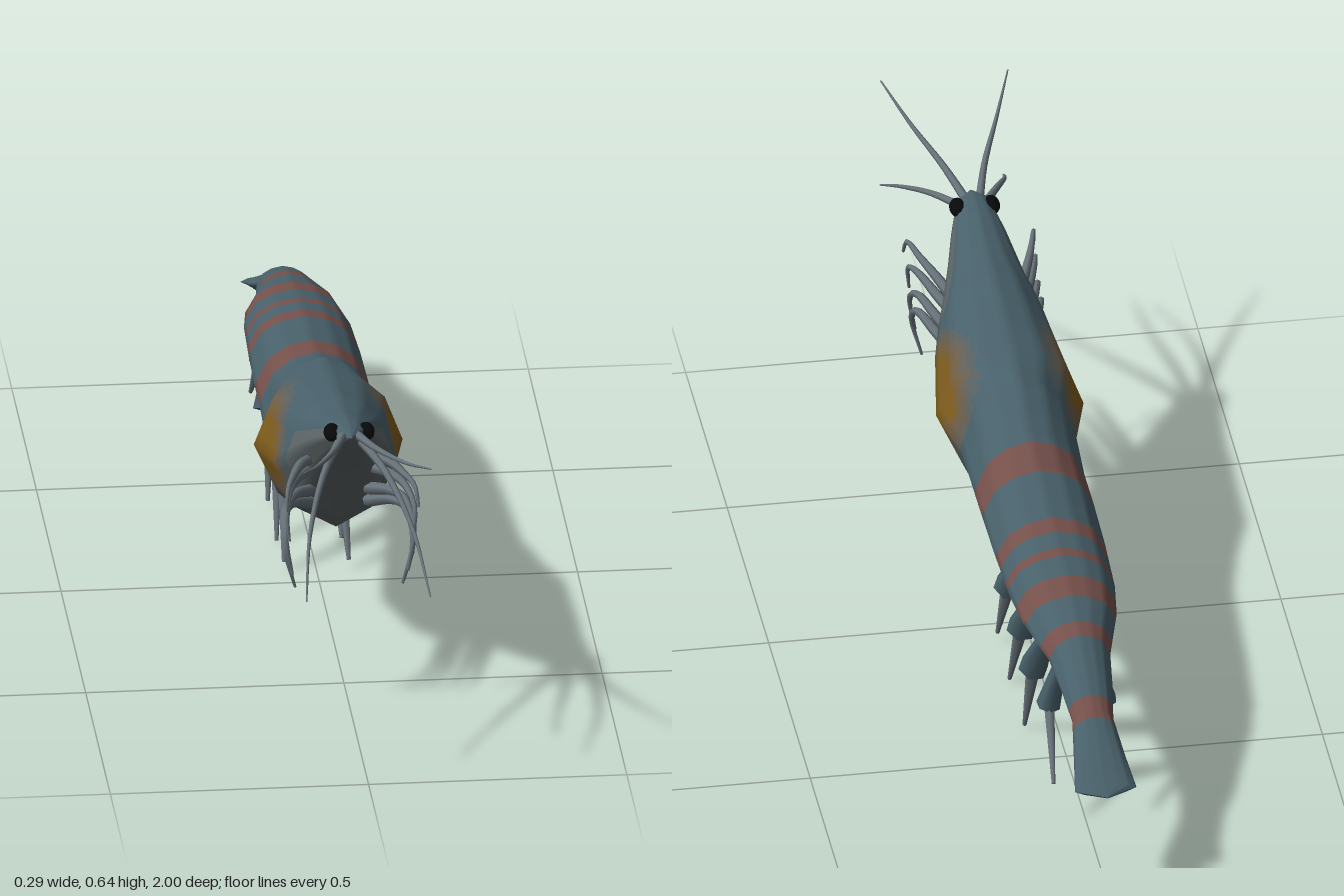
import * as THREE from 'three';

const SHELL = 0x48606a, STRIPE = 0x75504b, AMBER = 0x7d5b1c, BELLY = 0x5c6466, LIMB = 0x68737a;
const mat = (color) => new THREE.MeshStandardMaterial({ color, roughness: 0.8, side: THREE.DoubleSide });
const limbMat = mat(LIMB), shellMat = mat(SHELL);
const V = (x, y, z) => new THREE.Vector3(x, y, z);

// Body stations from tail to head: z, half width, top y, bottom y
const STATIONS = [
  [-1.0, 0.002, 0.218, 0.213], [-0.975, 0.06, 0.23, 0.206], [-0.9, 0.05, 0.268, 0.222],
  [-0.82, 0.04, 0.31, 0.25], [-0.75, 0.05, 0.345, 0.272], [-0.66, 0.06, 0.375, 0.275],
  [-0.54, 0.092, 0.4, 0.28], [-0.45, 0.103, 0.413, 0.28], [-0.3, 0.108, 0.428, 0.272],
  [-0.15, 0.11, 0.442, 0.258], [-0.04, 0.11, 0.458, 0.238], [0.08, 0.114, 0.508, 0.206],
  [0.18, 0.144, 0.522, 0.222], [0.34, 0.12, 0.548, 0.262], [0.4, 0.104, 0.56, 0.31],
  [0.44, 0.088, 0.558, 0.38], [0.5, 0.069, 0.572, 0.445], [0.56, 0.053, 0.588, 0.495],
  [0.62, 0.034, 0.594, 0.545], [0.65, 0.002, 0.582, 0.578],
];
// Half cross-section from back to belly: width fraction, height fraction
const SECTION = [[0, 1], [0.42, 0.94], [0.76, 0.8], [1, 0.5], [0.68, 0.16], [0, 0]];
const STRIPES = [[-0.84, -0.795], [-0.66, -0.62], [-0.55, -0.49], [-0.43, -0.405], [-0.355, -0.31], [-0.16, -0.07]];

function stationAt(z) {
  let i = 0;
  while (i < STATIONS.length - 2 && z > STATIONS[i + 1][0]) i++;
  const a = STATIONS[i], b = STATIONS[i + 1], t = (z - a[0]) / (b[0] - a[0]);
  return a.map((v, k) => v + (b[k] - v) * t);
}

// Colour of a body patch from its place along and around the body
function patchColor(z, y, v) {
  if (z > 0.42 ? v < 0.7 : v < 0.12 && z > -0.15) return BELLY;
  if (STRIPES.some(([a, b]) => z > a && z < b) && v > 0.2) return STRIPE;
  const d = Math.hypot((z - 0.23) / 0.17, (y - 0.39) / 0.12);
  const amount = Math.round(THREE.MathUtils.clamp((1 - d) * 2, 0, 1) * 5) / 5;
  return new THREE.Color(SHELL).lerp(new THREE.Color(AMBER), amount).getHex();
}

// One continuous shell, divided into coloured meshes that share normals
function buildBody() {
  const extra = [];
  for (let z = 0.05; z < 0.4; z += 0.025) extra.push(z);
  const zs = [...STATIONS.map((s) => s[0]), ...STRIPES.flat(), ...extra].sort((a, b) => a - b)
    .filter((z, i, all) => i === 0 || z - all[i - 1] > 0.002);
  const half = [], SUB = 4;
  for (let i = 0; i < SECTION.length - 1; i++)
    for (let k = 0; k < SUB; k++)
      half.push([0, 1].map((c) => THREE.MathUtils.lerp(SECTION[i][c], SECTION[i + 1][c], k / SUB)));
  half.push([0, 0]);
  const ring = [...half, ...half.slice(1, -1).reverse().map(([u, v]) => [-u, v])];
  const n = ring.length, pos = [], index = [], byColor = new Map();
  for (const z of zs) {
    const [, w, top, bottom] = stationAt(z);
    for (const [u, v] of ring) pos.push(u * w, bottom + v * (top - bottom), z);
  }
  for (let i = 0; i < zs.length - 1; i++) {
    for (let j = 0; j < n; j++) {
      const k = (j + 1) % n;
      const a = i * n + j, b = i * n + k, c = a + n, d = b + n;
      const tris = [a, c, b, b, c, d];
      index.push(...tris);
      const z = (zs[i] + zs[i + 1]) / 2, v = (ring[j][1] + ring[k][1]) / 2;
      const [, , top, bottom] = stationAt(z);
      const color = patchColor(z, bottom + v * (top - bottom), v);
      if (!byColor.has(color)) byColor.set(color, []);
      byColor.get(color).push(...tris);
    }
  }
  const whole = new THREE.BufferGeometry();
  whole.setAttribute('position', new THREE.Float32BufferAttribute(pos, 3));
  whole.setIndex(index);
  whole.computeVertexNormals();
  const body = new THREE.Group();
  body.name = 'body';
  const names = { [SHELL]: 'shell', [STRIPE]: 'stripes', [BELLY]: 'belly' };
  for (const [color, tris] of byColor) {
    const g = new THREE.BufferGeometry();
    g.setAttribute('position', whole.attributes.position);
    g.setAttribute('normal', whole.attributes.normal);
    g.setIndex(tris);
    const mesh = new THREE.Mesh(g, mat(color));
    mesh.name = names[color] || 'amberPatch';
    body.add(mesh);
  }
  return body;
}

// Curved limb tapering from r0 to r1
function taperedLimb(name, points, r0, r1, sides = 6) {
  const curve = new THREE.CatmullRomCurve3(points), n = 14;
  const g = new THREE.TubeGeometry(curve, n, 1, sides, false);
  const p = g.attributes.position, q = new THREE.Vector3();
  for (let i = 0; i <= n; i++) {
    const c = curve.getPointAt(i / n), r = THREE.MathUtils.lerp(r0, r1, i / n);
    for (let j = 0; j <= sides; j++) {
      const k = i * (sides + 1) + j;
      q.fromBufferAttribute(p, k).sub(c).multiplyScalar(r).add(c);
      p.setXYZ(k, q.x, q.y, q.z);
    }
  }
  const mesh = new THREE.Mesh(g, limbMat);
  mesh.name = name;
  return mesh;
}

// Straight faceted segment from a to b
function segment(name, a, b, r0, r1, material, sides = 6) {
  const dir = b.clone().sub(a);
  const mesh = new THREE.Mesh(new THREE.CylinderGeometry(r1, r0, dir.length(), sides), material);
  mesh.position.copy(a).add(b).multiplyScalar(0.5);
  mesh.quaternion.setFromUnitVectors(V(0, 1, 0), dir.normalize());
  mesh.name = name;
  return mesh;
}

export function createModel() {
  const model = new THREE.Group();
  model.name = 'crustacean';
  model.add(buildBody());
  const eyeMat = mat(0x08090a);

  for (const s of [1, -1]) {
    const side = new THREE.Group();
    side.name = s > 0 ? 'leftLimbs' : 'rightLimbs';
    model.add(side);

    // Eye
    const eye = new THREE.Mesh(new THREE.SphereGeometry(0.022, 14, 10), eyeMat);
    eye.name = 'eye';
    eye.scale.set(0.75, 0.75, 1.15);
    eye.position.set(s * 0.033, 0.573, 0.604);
    side.add(eye);

    // Antennae: one pair rising, one pair drooping
    side.add(taperedLimb('upperAntenna', [V(s * 0.012, 0.575, 0.62), V(s * 0.04, 0.59, 0.73),
      V(s * 0.085, 0.613, 0.86), V(s * 0.124, 0.645, 0.97)], 0.009, 0.0015));
    side.add(taperedLimb('lowerAntenna', [V(s * 0.015, 0.565, 0.61), V(s * 0.06, 0.535, 0.72),
      V(s * 0.1, 0.47, 0.86), V(s * 0.12, 0.39, 1.0)], 0.009, 0.0015));

    // Feeding legs, each arching forward and down
    const feeding = [ // root z, root y, knee z, knee y, tip z, tip y
      [0.44, 0.45, 0.59, 0.475, 0.675, 0.44], [0.43, 0.425, 0.58, 0.445, 0.655, 0.37],
      [0.42, 0.375, 0.57, 0.405, 0.63, 0.29], [0.41, 0.345, 0.55, 0.38, 0.6, 0.25]];
    feeding.forEach(([rz, ry, kz, ky, tz, ty], i) => {
      const out = 0.004 * i;
      side.add(taperedLimb('feedingLeg', [V(s * 0.055, ry, rz), V(s * (0.085 + out), ky - 0.005, (rz + kz) / 2),
        V(s * (0.108 + out), ky, kz), V(s * 0.124, (ky + ty) / 2 + 0.015, (kz + tz) / 2 + 0.025),
        V(s * (0.128 - out * 2), ty, tz)], 0.013, 0.003));
    });

    // Swimming legs: broad base with a thin blade
    const swimming = [ // root z, root y, joint z, joint y, tip z, tip y
      [-0.205, 0.28, -0.145, 0.175, -0.06, 0.02], [-0.355, 0.285, -0.3, 0.175, -0.205, 0.004],
      [-0.505, 0.29, -0.445, 0.175, -0.385, 0.01], [-0.635, 0.29, -0.625, 0.2, -0.735, 0.09]];
    swimming.forEach(([rz, ry, jz, jy, tz, ty], i) => {
      const k = i === 3 ? 0.8 : 1;
      side.add(segment('swimmingLegBase', V(s * 0.036, ry, rz), V(s * 0.056, jy, jz), 0.014, 0.03 * k, shellMat));
      side.add(segment('swimmingLegBlade', V(s * 0.054, jy + 0.01, jz), V(s * 0.063, ty, tz), 0.015 * k, 0.004, limbMat));
    });
  }
  return model;
}
